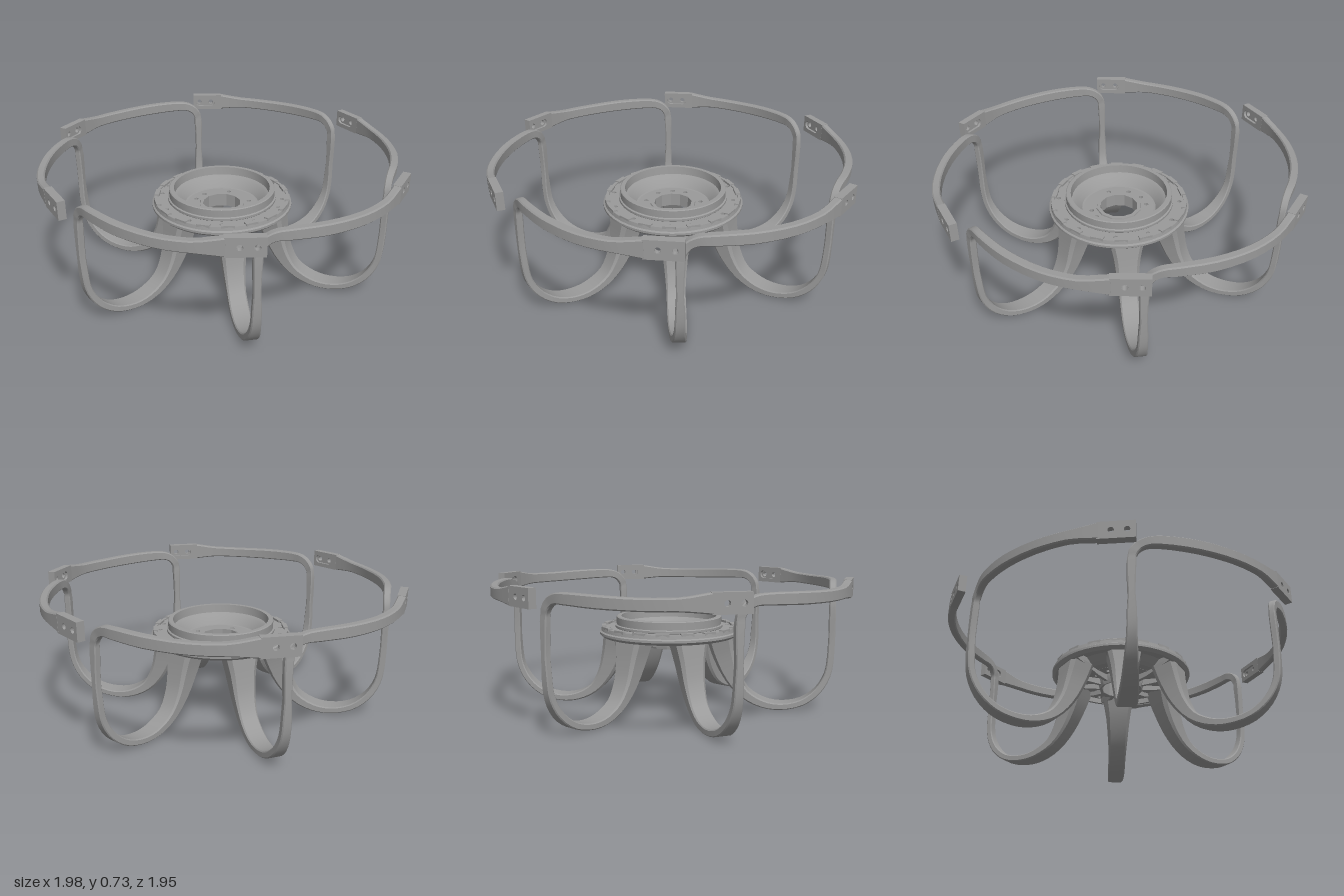
import * as THREE from 'three';
import { toCreasedNormals } from 'three/addons/utils/BufferGeometryUtils.js';

const metal = new THREE.MeshStandardMaterial({ color: 0x9a9a9a });
metal.name = 'grey metal';
const rad = THREE.MathUtils.degToRad;
const V3 = (x, y, z) => new THREE.Vector3(x, y, z);

function part(name, geometry, parent, crease = 0.5) {
  const mesh = new THREE.Mesh(toCreasedNormals(geometry, crease), metal);
  mesh.name = name;
  parent.add(mesh);
  return mesh;
}

// Polygonal circle used for outlines and holes
function ngon(PathClass, x, y, r, sides) {
  const pts = [];
  for (let i = 0; i < sides; i++) {
    const a = (i / sides) * Math.PI * 2;
    pts.push(new THREE.Vector2(x + r * Math.cos(a), y + r * Math.sin(a)));
  }
  return new PathClass(pts);
}

// Flat ring lying at height y, with a circle of drilled holes
function drilledRing(rIn, rOut, y, depth, innerSides, holeR, holeRing, angles) {
  const shape = ngon(THREE.Shape, 0, 0, rOut, 48);
  shape.holes.push(ngon(THREE.Path, 0, 0, rIn, innerSides));
  for (const d of angles) {
    const a = rad(d);
    shape.holes.push(ngon(THREE.Path, holeRing * Math.cos(a), holeRing * Math.sin(a), holeR, 8));
  }
  const g = new THREE.ExtrudeGeometry(shape, { depth, bevelEnabled: false });
  return g.rotateX(-Math.PI / 2).translate(0, y, 0);
}

const lathe = (pts, sides = 48) => new THREE.LatheGeometry(
  [...pts, pts[0]].map(([r, y]) => new THREE.Vector2(r, y)), sides);

// Leg stations in the radial plane: radius, height, thickness, width
const LEG = [
  [0.29, 0.415, 0.14, 0.18], [0.315, 0.31, 0.12, 0.14], [0.36, 0.19, 0.085, 0.115],
  [0.43, 0.095, 0.055, 0.1], [0.53, 0.042, 0.042, 0.1], [0.63, 0.03, 0.035, 0.095],
  [0.74, 0.055, 0.035, 0.08], [0.825, 0.12, 0.035, 0.065], [0.875, 0.21, 0.035, 0.05],
  [0.89, 0.32, 0.035, 0.045], [0.89, 0.58, 0.035, 0.045],
];
// Hoop stations: angle, radius, height, thickness, width
const HOOP = [
  [-0.5, 0.89, 0.635, 0.035, 0.045], [-2.3, 0.89, 0.672, 0.036, 0.046],
  [-5, 0.895, 0.692, 0.038, 0.05], [-9, 0.905, 0.696, 0.04, 0.056],
  [-20, 0.927, 0.692, 0.042, 0.06], [-32, 0.948, 0.688, 0.042, 0.058],
  [-42, 0.96, 0.69, 0.04, 0.06], [-50.8, 0.963, 0.695, 0.04, 0.094],
];
const polar = (deg, r, y) => V3(r * Math.cos(rad(deg)), y, r * Math.sin(rad(deg)));

// Chamfered bar swept down the leg's U and round the hoop
function armGeometry() {
  const path = new THREE.CatmullRomCurve3([
    ...LEG.map(([r, y]) => V3(r, y, 0)), ...HOOP.map(([a, r, y]) => polar(a, r, y))]);
  const size = new THREE.CatmullRomCurve3([...LEG, ...HOOP].map(s => V3(s.at(-2), s.at(-1), 0)));
  const last = LEG.length + HOOP.length - 1;
  const legEnd = (LEG.length - 1) / last;
  const steps = last * 3, pos = [], idx = [];
  for (let i = 0; i <= steps; i++) {
    const t = i / steps;
    const p = path.getPoint(t), T = path.getTangent(t), s = size.getPoint(t);
    const N = t < legEnd ? V3(T.y, -T.x, 0) : V3(p.x, 0, p.z).normalize();
    N.addScaledVector(T, -N.dot(T)).normalize();
    const B = T.clone().cross(N);
    const h = s.x / 2, w = s.y / 2, c = Math.min(h, w) * 0.3;
    const ring = [[h, w - c], [h - c, w], [c - h, w], [-h, w - c],
      [-h, c - w], [c - h, -w], [h - c, -w], [h, c - w]];
    for (const [n, b] of ring) {
      pos.push(...p.clone().addScaledVector(N, n).addScaledVector(B, b).toArray());
    }
    if (i === steps) continue;
    for (let j = 0; j < 8; j++) {
      const a = i * 8 + j, b = i * 8 + (j + 1) % 8;
      idx.push(a, b, b + 8, a, b + 8, a + 8);
    }
  }
  for (let j = 1; j < 7; j++) {
    const e = steps * 8;
    idx.push(0, j + 1, j, e, e + j, e + j + 1);
  }
  const g = new THREE.BufferGeometry();
  g.setAttribute('position', new THREE.Float32BufferAttribute(pos, 3));
  g.setIndex(idx);
  return g;
}

// End plate layer: rectangle along x with the given holes
function plateLayer(length, holes, depth, z) {
  const h = 0.0475;
  const shape = new THREE.Shape([[0, -h], [length, -h], [length, h], [0, h]]
    .map(([x, y]) => new THREE.Vector2(x, y)));
  shape.holes.push(...holes);
  return new THREE.ExtrudeGeometry(shape, { depth, bevelEnabled: false }).translate(0, 0, z);
}

function addEndPlate(arm) {
  const p0 = polar(-50.3, 0.962, 0.695), p1 = polar(-61, 0.975, 0.695);
  const length = p0.distanceTo(p1);
  const d = p1.clone().sub(p0).normalize(), up = V3(0, 1, 0);
  const plate = new THREE.Group();
  plate.name = 'endPlate';
  plate.applyMatrix4(new THREE.Matrix4().makeBasis(d, up, d.clone().cross(up)).setPosition(p0));
  const xs = [length - 0.115, length - 0.04];
  part('outerLayer', plateLayer(length, xs.map(x => ngon(THREE.Path, x, 0, 0.015, 12)), 0.026, -0.006), plate);
  const slot = new THREE.Path();
  slot.absarc(xs[1], 0, 0.024, -Math.PI / 2, Math.PI / 2);
  slot.absarc(xs[0], 0, 0.024, Math.PI / 2, Math.PI * 1.5);
  part('slottedLayer', plateLayer(length, [slot], 0.014, -0.02), plate);
  arm.add(plate);
}

function addHub(model) {
  const hub = new THREE.Group();
  hub.name = 'hub';
  model.add(hub);

  // Raised collar and the bowl sloping down inside it
  part('collarBowl', lathe([
    [0.195, 0.395], [0.235, 0.4], [0.285, 0.44], [0.3, 0.46], [0.3, 0.472], [0.292, 0.476],
    [0.292, 0.516], [0.287, 0.52], [0.265, 0.52], [0.26, 0.475], [0.24, 0.465], [0.205, 0.417], [0.195, 0.415],
  ]), hub);
  // Bowl floor with bolt holes, and the centre boss
  part('bowlFloor', drilledRing(0.105, 0.2, 0.395, 0.02, 12, 0.013, 0.155,
    [90, 26, -4, -27, -110, -153, -186, -214]), hub);
  part('centreBoss', lathe([[0.105, 0.35], [0.12, 0.345], [0.132, 0.395], [0.125, 0.422], [0.105, 0.422]], 12), hub);
  // Outer flange with paired holes, rounded rim and pads
  const holes = [9, 45, 75, 105, 136, 171].flatMap(a => [a, -a]);
  part('flange', drilledRing(0.28, 0.365, 0.44, 0.018, 48, 0.012, 0.335, holes), hub);
  part('rim', lathe([[0.355, 0.41], [0.37, 0.41], [0.387, 0.425], [0.387, 0.437],
    [0.378, 0.443], [0.374, 0.464], [0.358, 0.464]]), hub);
  for (let i = 0; i < 18; i++) {
    const pad = new THREE.BoxGeometry(0.026, 0.016, 0.07).translate(0.361, 0.462, 0);
    part('rimPad', pad.rotateY(rad(20 * i + 10)), hub);
  }
  // Radial ribs under the bowl
  for (let i = 0; i < 12; i++) {
    const rib = new THREE.Shape([[0.12, 0.36], [0.2, 0.37], [0.36, 0.415], [0.36, 0.442], [0.28, 0.442],
      [0.23, 0.405], [0.12, 0.405]].map(([x, y]) => new THREE.Vector2(x, y)));
    const g = new THREE.ExtrudeGeometry(rib, { depth: 0.018, bevelEnabled: false }).translate(0, 0, -0.009);
    part('rib', g.rotateY(rad(30 * i + 10.5)), hub);
  }
}

export function createModel() {
  const model = new THREE.Group();
  model.name = 'sixArmedHoopFrame';
  addHub(model);

  // Six identical arms, each a curved leg, a hoop section and an end plate
  const armShape = armGeometry();
  for (let i = 0; i < 6; i++) {
    const arm = new THREE.Group();
    arm.name = 'arm';
    part('legAndHoop', armShape, arm, 0.45);
    addEndPlate(arm);
    arm.rotation.y = rad(60 * i - 4.7);
    model.add(arm);
  }
  return model;
}
